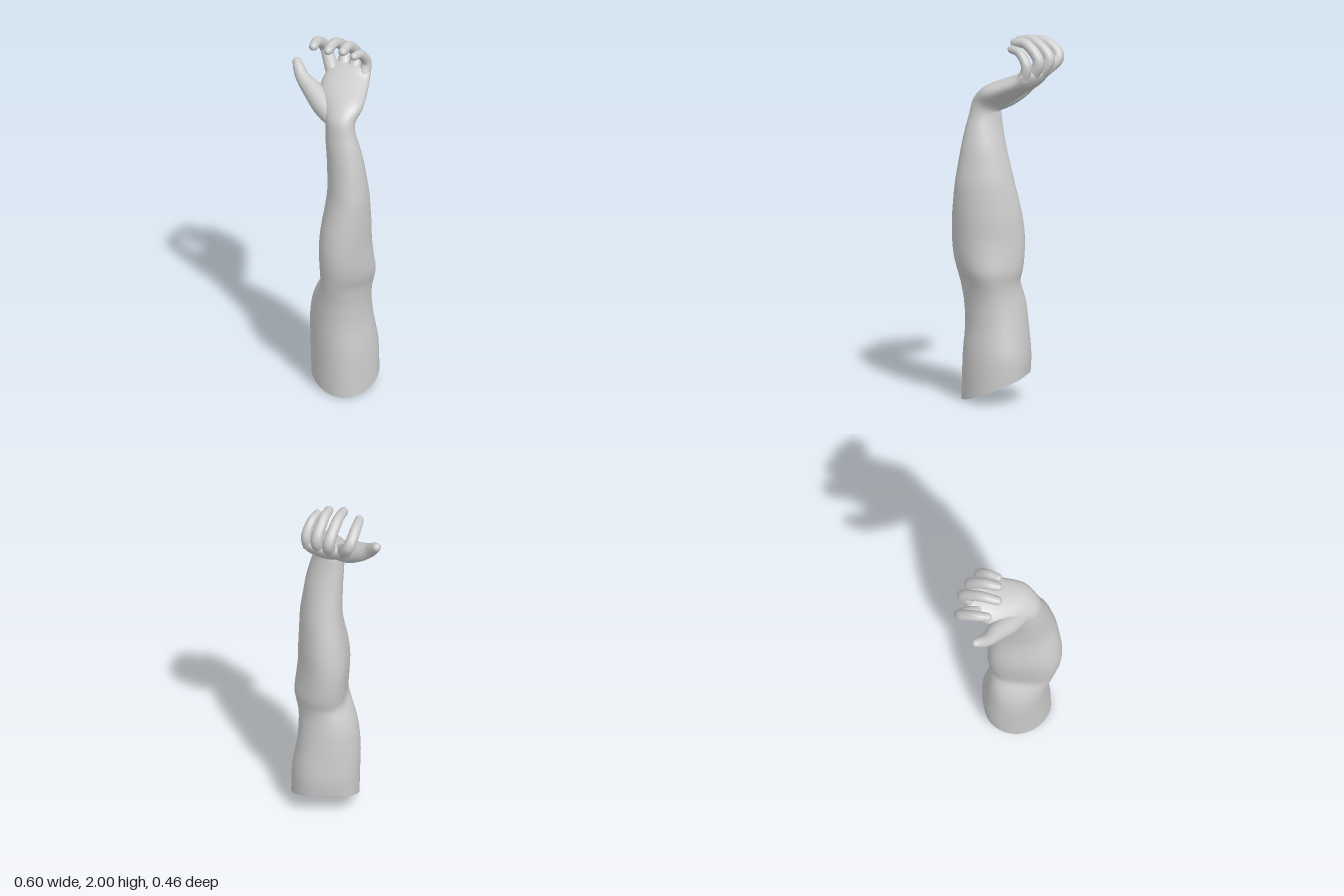
import * as THREE from 'three';

const V = (x, y, z) => new THREE.Vector3(x, y, z);
const skin = new THREE.MeshStandardMaterial({ color: 0xcccccc, side: THREE.DoubleSide });

// Skin over oval rings {c: centre, a, b: half axes, m, n: drift of the two diagonals}; start open, end closed
function loft(name, rings, sides) {
  const pos = [], index = [];
  for (const { c, a, b, m, n } of rings) {
    for (let j = 0; j < sides; j++) {
      const t = (j / sides) * Math.PI * 2, cos = Math.cos(t), sin = Math.sin(t);
      const p = c.clone().addScaledVector(a, cos).addScaledVector(b, sin);
      if (m) p.addScaledVector(m, (cos + sin) ** 4 / 4).addScaledVector(n, (cos - sin) ** 4 / 4);
      pos.push(p.x, p.y, p.z);
    }
  }
  const last = (rings.length - 1) * sides;
  for (let i = 0; i < last; i += sides) {
    for (let j = 0; j < sides; j++) {
      const k = (j + 1) % sides;
      index.push(i + j, i + k, i + sides + j, i + k, i + sides + k, i + sides + j);
    }
  }
  pos.push(...rings[rings.length - 1].c.toArray());
  for (let j = 0; j < sides; j++) index.push(last + j, last + ((j + 1) % sides), last + sides);
  const geo = new THREE.BufferGeometry();
  geo.setAttribute('position', new THREE.Float32BufferAttribute(pos, 3));
  geo.setIndex(index);
  geo.computeVertexNormals();
  const mesh = new THREE.Mesh(geo, skin);
  mesh.name = name;
  return mesh;
}

const spline = (pts) => new THREE.CatmullRomCurve3(pts, false, 'catmullrom', 0.5);

// Tapered round finger along a smooth path, with a domed tip
function digit(name, points, radii, ref) {
  const path = spline(points.map((p) => V(...p)));
  const size = spline(radii.map((r) => V(r, 0, 0)));
  const rings = [];
  const add = (c, t, r) => {
    const a = ref.clone().cross(t).normalize();
    rings.push({ c, a: a.clone().multiplyScalar(r), b: t.clone().cross(a).multiplyScalar(r) });
  };
  const steps = 18;
  for (let i = 0; i <= steps; i++) {
    const u = i / steps;
    add(path.getPoint(u), path.getTangent(u), size.getPoint(u).x);
  }
  const end = path.getPoint(1), dir = path.getTangent(1), r = radii[radii.length - 1];
  for (const t of [0.4, 0.8, 1.2, 1.45]) {
    add(end.clone().addScaledVector(dir, r * Math.sin(t)), dir, r * Math.cos(t));
  }
  return loft(name, rings, 14);
}

export function createModel() {
  const group = new THREE.Group();
  group.name = 'arm';
  const rings = [];
  const addRing = (c, a, b, m = 0, n = 0) => rings.push({
    c: V(...c), a: V(...a), b: V(...b), m: V(m, 0, -m), n: V(n, 0, n),
  });

  // Slanted cut at the upper arm
  addRing([0.078, 0.075, -0.008], [0.187, -0.053, 0], [0, 0.053, -0.182], 0, 0.018);

  // Arm sections: y, x min, x max, z min, z max, lean of the oval, elbow drift, biceps drift
  const arm = [
    [0.25, -0.112, 0.258, -0.19, 0.177, 0, 0, 0.016],
    [0.4, -0.102, 0.243, -0.162, 0.183, 0, 0, 0.01],
    [0.52, -0.088, 0.24, -0.138, 0.192, 0.05, 0.007, 0.006],
    [0.6, -0.063, 0.244, -0.127, 0.198, 0.12, 0.015, 0.005],
    [0.66, -0.036, 0.251, -0.129, 0.206, 0.2, 0.023, 0.003],
    [0.72, -0.041, 0.269, -0.137, 0.216, 0.25, 0.024, 0],
    [0.8, -0.05, 0.28, -0.135, 0.225, 0.32, 0.021, 0],
    [0.9, -0.054, 0.286, -0.128, 0.226, 0.35, 0.017, 0],
    [1.0, -0.043, 0.292, -0.122, 0.213, 0.35, 0.013, 0],
    [1.1, -0.022, 0.295, -0.11, 0.189, 0.35, 0.008, 0],
    [1.2, 0.0, 0.295, -0.095, 0.167, 0.32, 0.003, 0],
    [1.3, 0.015, 0.282, -0.073, 0.156, 0.25, 0, 0],
    [1.4, 0.025, 0.265, -0.048, 0.15, 0.15, 0, 0],
    [1.5, 0.03, 0.24, -0.02, 0.145, 0.05, 0, 0],
    [1.57, 0.032, 0.218, -0.004, 0.138, 0, 0, 0],
  ];
  for (const [y, x0, x1, z0, z1, lean, m, n] of arm) {
    const rx = (x1 - x0) / 2, rz = (z1 - z0) / 2;
    addRing([(x0 + x1) / 2, y, (z0 + z1) / 2], [rx, 0, lean * rz],
      [0, 0, -rz * Math.sqrt(1 - lean * lean)], m, n);
  }

  // Wrist bending back into the cupped palm
  addRing([0.115, 1.625, 0.06], [0.087, 0.02, -0.01], [0, -0.025, -0.066]);
  addRing([0.072, 1.68, 0.015], [0.12, 0.02, -0.04], [-0.01, -0.047, -0.047]);
  addRing([0.008, 1.73, -0.055], [0.13, 0.005, -0.05], [-0.01, -0.046, -0.035]);
  addRing([-0.037, 1.775, -0.128], [0.12, 0, -0.045], [-0.01, -0.036, -0.034]);
  addRing([-0.05, 1.815, -0.16], [0.113, 0, -0.04], [-0.008, -0.018, -0.033]);
  addRing([-0.052, 1.832, -0.162], [0.095, 0, -0.033], [-0.004, -0.007, -0.018]);

  const curves = Object.fromEntries(Object.keys(rings[0]).map((k) => [k, spline(rings.map((r) => r[k]))]));
  const steps = (rings.length - 1) * 3;
  const smooth = Array.from({ length: steps + 1 }, (_, i) =>
    Object.fromEntries(Object.entries(curves).map(([k, curve]) => [k, curve.getPoint(i / steps)])));
  group.add(loft('armAndPalm', smooth, 32));

  // Curled fingers: knuckle, middle joint, end joint, tip
  const fingers = {
    indexFinger: [[-0.125, 1.785, -0.09], [-0.222, 1.875, -0.125], [-0.2, 1.945, -0.05], [-0.16, 1.955, 0.015]],
    middleFinger: [[-0.085, 1.79, -0.135], [-0.128, 1.885, -0.182], [-0.095, 1.968, -0.085], [-0.055, 1.966, 0]],
    ringFinger: [[-0.025, 1.79, -0.155], [-0.05, 1.88, -0.198], [-0.025, 1.963, -0.12], [0.008, 1.967, -0.05]],
    littleFinger: [[0.035, 1.785, -0.175], [0.03, 1.86, -0.2], [0.04, 1.928, -0.15], [0.055, 1.942, -0.09]],
  };
  for (const [name, points] of Object.entries(fingers)) {
    const s = name === 'littleFinger' ? 0.88 : 1;
    group.add(digit(name, points, [0.038, 0.032, 0.029, 0.025].map((r) => r * s), V(1, 0, 0)));
  }

  // Thumb with the fleshy mound at its base
  group.add(digit('thumb',
    [[0.09, 1.615, 0.07], [-0.02, 1.66, 0.058], [-0.12, 1.71, 0.05], [-0.2, 1.758, 0.054], [-0.25, 1.802, 0.043], [-0.273, 1.822, 0.034]],
    [0.05, 0.062, 0.055, 0.039, 0.031, 0.025], V(0, 0, 1)));

  return group;
}
